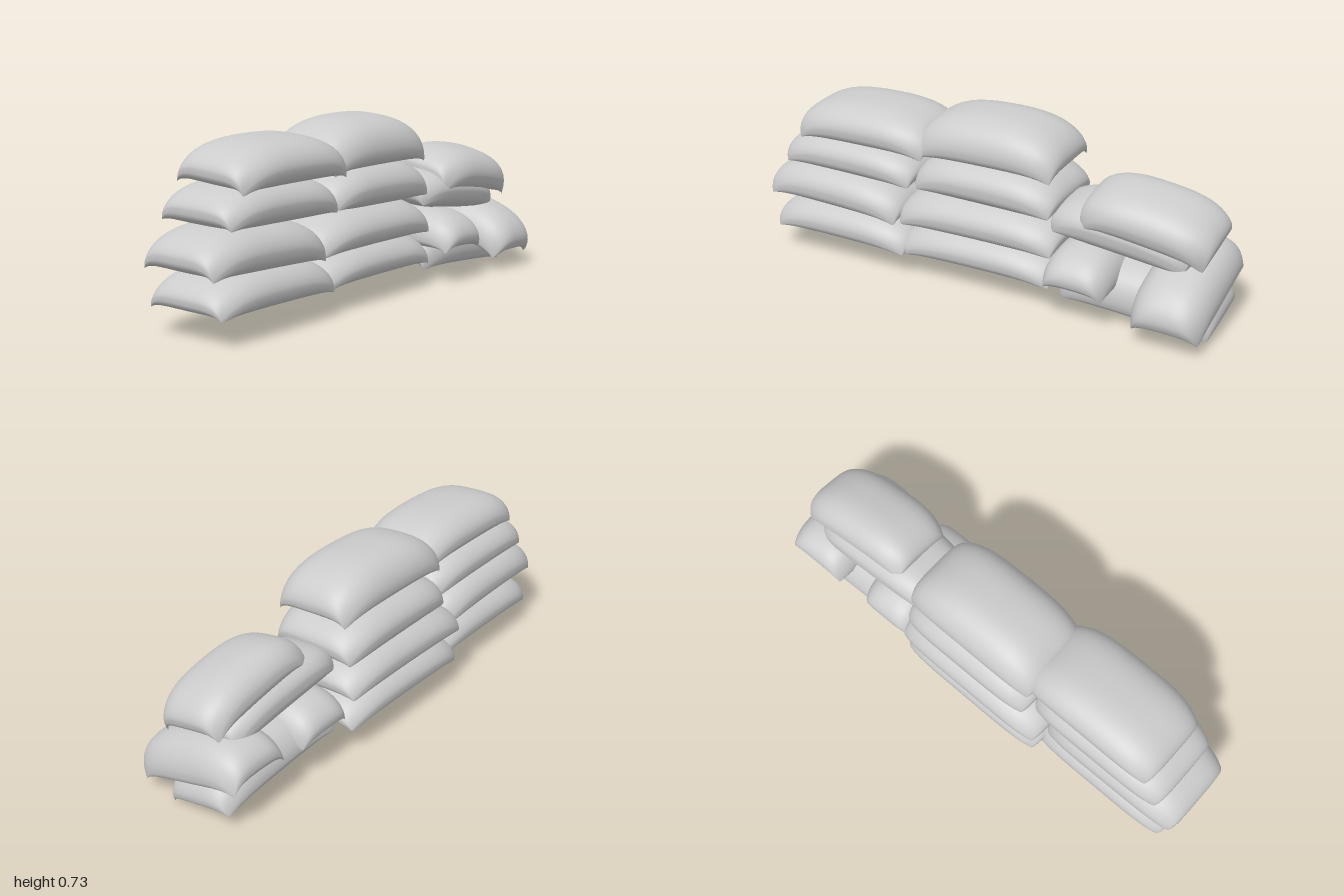
import * as THREE from 'three';
import { mergeVertices } from 'three/addons/utils/BufferGeometryUtils.js';

const COLS = 36, ROWS = 28;

// Stuffed sack: domed crown and flat belly around a mid-height rim, corners drooping and pulled inward
function sackGeometry(length, depth, up, down, droop) {
  const pos = [], index = [];
  const edge = (t, power) => Math.pow(Math.max(0, 1 - Math.pow(Math.abs(t), 2.8)), power);
  for (const side of [1, -1]) {
    const start = pos.length / 3;
    const height = side > 0 ? up : -down;
    const power = side > 0 ? 0.55 : 0.33;
    for (let j = 0; j <= ROWS; j++) {
      const v = Math.sin((j / ROWS - 0.5) * Math.PI);
      for (let i = 0; i <= COLS; i++) {
        const u = Math.sin((i / COLS - 0.5) * Math.PI);
        const corner = Math.pow(u * v, 4);
        pos.push(
          u * (length / 2 - 0.02 * corner),
          height * edge(u, power) * edge(v, power) - droop * corner - 0.01 * u * u,
          v * (depth / 2 - 0.03 * corner)
        );
      }
    }
    for (let j = 0; j < ROWS; j++) {
      for (let i = 0; i < COLS; i++) {
        const a = start + j * (COLS + 1) + i, b = a + 1, c = a + COLS + 1, d = c + 1;
        if (side > 0) index.push(a, c, b, b, c, d);
        else index.push(a, b, c, b, d, c);
      }
    }
  }
  const raw = new THREE.BufferGeometry();
  raw.setAttribute('position', new THREE.Float32BufferAttribute(pos, 3));
  raw.setIndex(index);
  const geometry = mergeVertices(raw, 1e-5);
  geometry.computeVertexNormals();
  return geometry;
}

export function createModel() {
  const group = new THREE.Group();
  group.name = 'sandbagWall';
  const material = new THREE.MeshStandardMaterial({ color: 0xcccccc });

  // name, rim centre [x, y, z], [length, depth], [up, down, droop], [tiltX, tiltZ]
  const sacks = [
    // right-hand stack, four layers
    ['rightStackBag1', [-0.64, 0.15, 0], [0.66, 0.4], [0.095, 0.07, 0.05], [0.02, -0.01]],
    ['rightStackBag2', [-0.675, 0.295, 0], [0.65, 0.39], [0.1, 0.08, 0.06], [0.03, -0.04]],
    ['rightStackBag3', [-0.595, 0.455, 0], [0.63, 0.39], [0.09, 0.08, 0.05], [0.03, -0.02]],
    ['rightStackBag4', [-0.53, 0.59, 0.005], [0.62, 0.375], [0.095, 0.075, 0.06], [0.08, 0]],
    // middle stack, four layers
    ['middleStackBag1', [-0.01, 0.15, -0.04], [0.71, 0.44], [0.095, 0.07, 0.05], [0.04, 0]],
    ['middleStackBag2', [-0.01, 0.29, -0.045], [0.72, 0.45], [0.1, 0.08, 0.05], [0.08, 0]],
    ['middleStackBag3', [0.025, 0.445, -0.035], [0.63, 0.42], [0.1, 0.09, 0.05], [0.03, -0.02]],
    ['middleStackBag4', [0.02, 0.59, -0.025], [0.63, 0.38], [0.125, 0.07, 0.06], [0.08, 0]],
    // low slumped stack at the left end
    ['leftStackBag1', [0.665, 0.105, -0.03], [0.64, 0.34], [0.13, 0.065, 0.05], [0.22, -0.08]],
    ['leftCrosswiseInner', [0.465, 0.195, 0.01], [0.28, 0.49], [0.105, 0.06, 0.05], [0.06, -0.04]],
    ['leftCrosswiseOuter', [0.845, 0.18, 0.013], [0.3, 0.535], [0.115, 0.07, 0.065], [0.29, -0.03]],
    ['leftStackBag3', [0.6, 0.365, -0.01], [0.58, 0.32], [0.08, 0.09, 0.05], [0.12, -0.12]],
    ['leftStackBag4', [0.71, 0.43, 0.015], [0.53, 0.325], [0.095, 0.075, 0.07], [0.22, -0.16]],
  ];

  for (const [name, at, [length, depth], [up, down, droop], [tiltX, tiltZ]] of sacks) {
    const sack = new THREE.Mesh(sackGeometry(length, depth, up, down, droop), material);
    sack.name = name;
    sack.position.set(...at);
    sack.rotation.set(tiltX, 0, tiltZ);
    group.add(sack);
  }
  return group;
}
